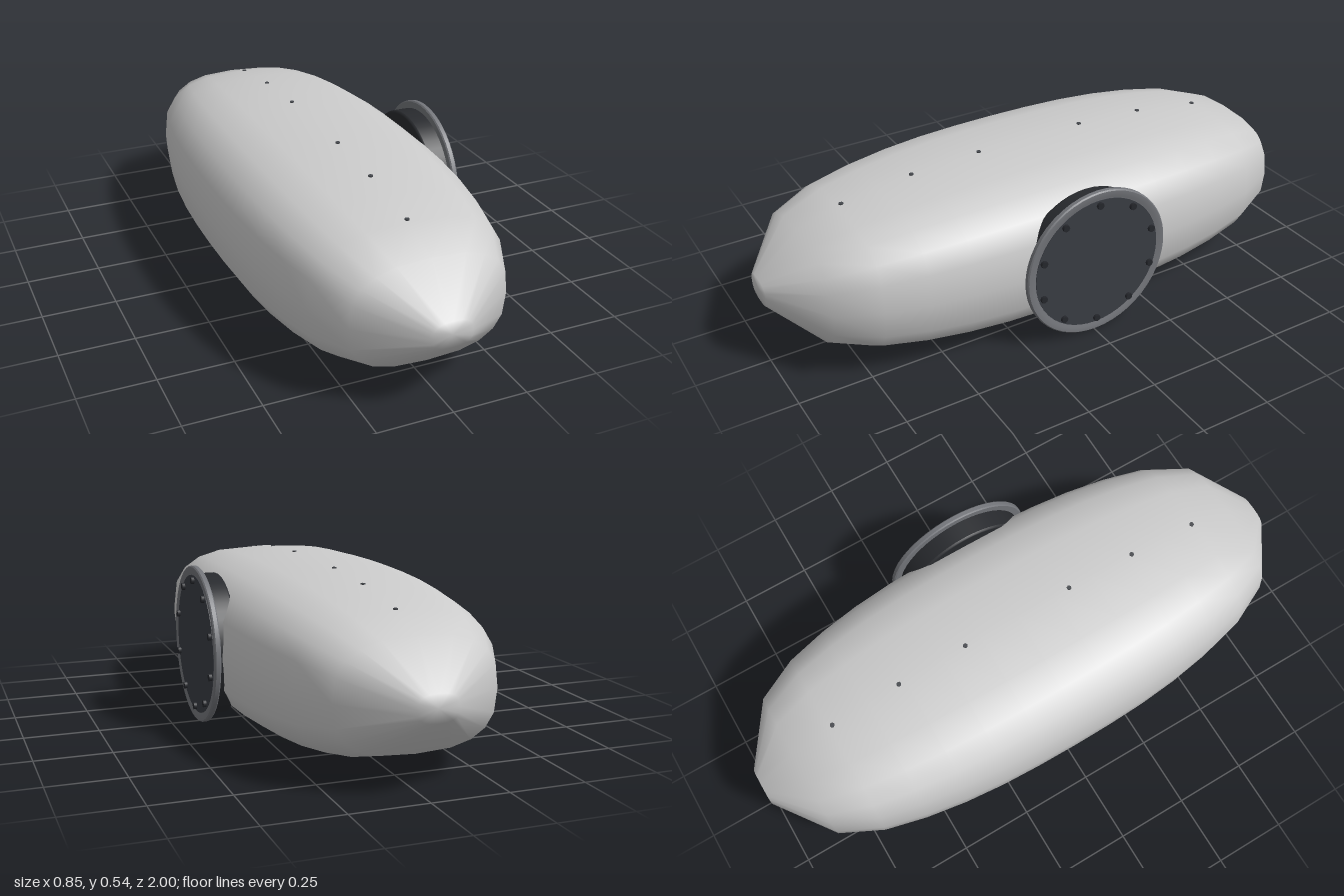
import * as THREE from 'three';

const CX = -0.017, CY = 0.272, HALF_W = 0.407, HALF_H = 0.272;
const grey = new THREE.MeshStandardMaterial({ color: 0xcccccc });
const paint = (color) => new THREE.MeshStandardMaterial({ color });

// Hull size, as a fraction of the middle section, at stations from the middle to a tip
const STATIONS = [1, 0.996, 0.982, 0.95, 0.895, 0.81, 0.64, 0.16];
const STEP = 1 / (STATIONS.length - 1);

function scaleAt(z) {
  const t = Math.abs(z) / STEP, i = Math.min(Math.floor(t), STATIONS.length - 2);
  return THREE.MathUtils.lerp(STATIONS[i], STATIONS[i + 1], t - i);
}

// Rounded-square rings lofted along z, closed at both tips
function hullGeometry() {
  const sides = 20, last = STATIONS.length - 1;
  const power = (v) => Math.sign(v) * Math.pow(Math.abs(v), 0.72);
  const pos = [], index = [];
  for (let k = -last; k <= last; k++) {
    const s = STATIONS[Math.abs(k)];
    for (let i = 0; i < sides; i++) {
      const a = (i / sides) * Math.PI * 2;
      pos.push(HALF_W * s * power(Math.cos(a)), HALF_H * s * power(Math.sin(a)), k * STEP);
    }
  }
  const rings = 2 * last + 1, back = rings * sides, front = back + 1;
  pos.push(0, 0, -1, 0, 0, 1);
  for (let i = 0; i < sides; i++) {
    const j = (i + 1) % sides;
    for (let k = 0; k < rings - 1; k++) {
      const a = k * sides + i, b = k * sides + j;
      index.push(a, b, b + sides, a, b + sides, a + sides);
    }
    const top = (rings - 1) * sides;
    index.push(back, j, i, front, top + i, top + j);
  }
  const g = new THREE.BufferGeometry();
  g.setAttribute('position', new THREE.Float32BufferAttribute(pos, 3));
  g.setIndex(index);
  g.computeVertexNormals();
  return g;
}

function add(parent, name, geometry, material, x = 0, y = 0, z = 0) {
  const mesh = new THREE.Mesh(geometry, material);
  mesh.name = name;
  mesh.position.set(x, y, z);
  parent.add(mesh);
  return mesh;
}

export function createModel() {
  const model = new THREE.Group();
  model.name = 'pod';

  add(model, 'hull', hullGeometry(), grey, CX, CY, 0);

  // Row of tiny studs along the crown
  const studMaterial = paint(0x44474c);
  const stud = new THREE.CylinderGeometry(0.008, 0.008, 0.012, 8);
  for (const z of [-0.7, -0.45, -0.2, 0.2, 0.45, 0.7]) {
    add(model, 'crownStud', stud, studMaterial, CX, CY + HALF_H * scaleAt(z) - 0.003, z);
  }

  // Port on the +x side; its local y axis points outwards
  const port = new THREE.Group();
  port.name = 'port';
  port.position.set(0, CY + 0.001, 0);
  port.rotation.z = -Math.PI / 2;
  model.add(port);

  const lathe = (points) =>
    new THREE.LatheGeometry(points.map(([r, y]) => new THREE.Vector2(r, y)), 48);
  const neck = lathe([[0, 0.327], [0.233, 0.327], [0.233, 0.327], [0.238, 0.329],
    [0.24, 0.334], [0.24, 0.334], [0.24, 0.4]]);
  add(port, 'neck', neck, paint(0x282a2e));

  const flange = lathe([[0.23, 0.394], [0.263, 0.394], [0.263, 0.394], [0.267, 0.398],
    [0.267, 0.398], [0.267, 0.411], [0.267, 0.411], [0.263, 0.415], [0.263, 0.415],
    [0.248, 0.415], [0.24, 0.411], [0.23, 0.411]]);
  add(port, 'flange', flange, paint(0x74767b));
  add(port, 'cover', new THREE.CylinderGeometry(0.236, 0.236, 0.014, 48), paint(0x3a3d44), 0, 0.406, 0);

  // Bolts around the cover
  const bolt = new THREE.CylinderGeometry(0.012, 0.012, 0.014, 8);
  const boltMaterial = paint(0x25272c);
  for (let i = 0; i < 10; i++) {
    const a = (i / 10) * Math.PI * 2;
    add(port, 'bolt', bolt, boltMaterial, 0.219 * Math.cos(a), 0.416, 0.219 * Math.sin(a));
  }
  return model;
}
